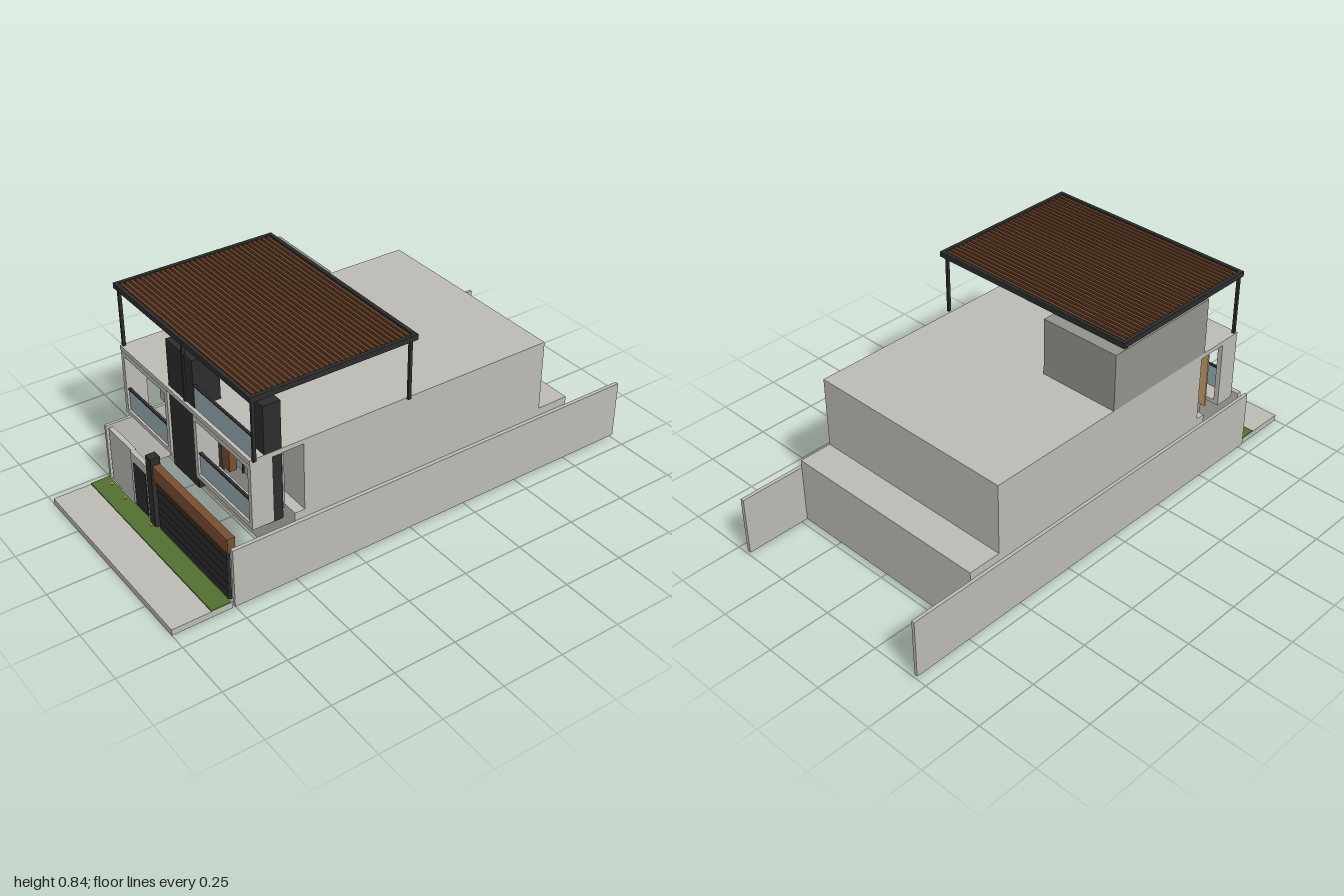
import * as THREE from 'three';

const mat = (name, color, side = THREE.FrontSide) => {
  const m = new THREE.MeshStandardMaterial({ color, side });
  m.name = name;
  return m;
};

export function createModel() {
  const concrete = mat('concrete', 0xbcbab4);
  const render = mat('grey render', 0x93918c);
  const dark = mat('charcoal', 0x2d2d2d);
  const glass = mat('glass', 0x98abb1, THREE.DoubleSide);
  const wood = mat('wood', 0x784e32);
  const slatWood = mat('slat wood', 0x613d25);
  const blind = mat('warm blind', 0xc89e6c);
  const grass = mat('grass', 0x537030);
  const lamp = mat('lamp', 0xb8873c);

  const model = new THREE.Group();
  model.name = 'house';
  // box given by its limits on each axis
  const box = (name, m, x0, x1, y0, y1, z0, z1, parent = model) => {
    const mesh = new THREE.Mesh(new THREE.BoxGeometry(x1 - x0, y1 - y0, z1 - z0), m);
    mesh.position.set((x0 + x1) / 2, (y0 + y1) / 2, (z0 + z1) / 2);
    mesh.name = name;
    parent.add(mesh);
    return mesh;
  };
  const group = (name) => {
    const g = new THREE.Group();
    g.name = name;
    model.add(g);
    return g;
  };
  const rect = (C, x0, x1, y0, y1) => {
    const p = new C();
    p.moveTo(x0, y0);
    p.lineTo(x1, y0);
    p.lineTo(x1, y1);
    p.lineTo(x0, y1);
    p.closePath();
    return p;
  };
  // upright wall with one rectangular opening
  const wallWithHole = (name, m, outer, hole, z0, z1, parent = model) => {
    const s = rect(THREE.Shape, ...outer);
    s.holes.push(rect(THREE.Path, ...hole));
    const mesh = new THREE.Mesh(new THREE.ExtrudeGeometry(s, { depth: z1 - z0, bevelEnabled: false }), m);
    mesh.position.z = z0;
    mesh.name = name;
    parent.add(mesh);
  };
  const L = -0.447, R = 0.43;

  // Ground: pavement, grass strip and boundary walls
  box('pavement', concrete, L, R, 0, 0.025, 0.76, 1);
  box('grassStrip', grass, L, R, 0.024, 0.03, 0.767, 0.845);
  box('boundaryWallRight', concrete, -0.46, L, 0.015, 0.257, -1, 0.76);
  box('boundaryWallLeft', concrete, R, 0.445, 0.015, 0.257, -1, 0.76);

  // Main volumes
  box('groundFloor', concrete, L, R, 0.015, 0.29, -0.735, 0.5);
  box('upperFloor', concrete, L, R, 0.29, 0.58, -0.6, 0.46);
  box('roofOverhang', concrete, L, R, 0.562, 0.58, 0.46, 0.672);
  box('roofRoom', render, L, -0.113, 0.58, 0.812, -0.03, 0.475);

  // Chimney-like dark columns
  box('centralColumn', dark, -0.113, 0.063, 0.24, 0.77, 0.555, 0.66);
  box('sideColumn', dark, 0.38, 0.4295, 0.292, 0.77, 0.547, 0.615);

  // Framed balconies with windows set behind
  const balcony = (name, outer, hole, railY, barY, mullions, barX) => {
    const g = group(name);
    const [x0, x1, y0, y1] = hole;
    wallWithHole('balconyFrame', concrete, outer, hole, 0.585, 0.67, g);
    box('balustradeGlass', glass, x0, x1, y0, railY, 0.655, 0.661, g);
    box('handrail', dark, x0, x1, railY - 0.003, railY + 0.003, 0.653, 0.664, g);
    box('windowGlass', glass, x0, x1, y0, y1, 0.531, 0.535, g);
    box('windowBlind', blind, x0, x1, y0, y1, 0.528, 0.531, g);
    for (const x of mullions) box('mullion', dark, x - 0.003, x + 0.003, y0, y1, 0.535, 0.541, g);
    box('transom', dark, barX[0], barX[1], barY - 0.002, barY + 0.002, 0.535, 0.541, g);
  };
  balcony('rightBalcony', [L, -0.113, 0.288, 0.562], [-0.427, -0.133, 0.305, 0.54],
    0.397, 0.492, [-0.33, -0.23], [-0.427, -0.133]);
  balcony('leftBalcony', [0.063, R, 0.295, 0.562], [0.082, 0.412, 0.315, 0.54],
    0.403, 0.502, [0.163, 0.245, 0.33], [0.133, 0.38]);
  box('woodPanel', wood, 0.082, 0.133, 0.315, 0.54, 0.545, 0.575);

  // Roof terrace balustrade
  box('terraceGlass', glass, 0.063, R, 0.58, 0.67, 0.652, 0.658);
  box('terraceHandrail', dark, 0.063, R, 0.669, 0.674, 0.65, 0.66);

  // Street front: wall, door, post, gate and beam
  box('frontWall', concrete, -0.43, -0.255, 0.02, 0.257, 0.738, 0.758);
  box('entranceWall', concrete, -0.255, -0.11, 0.02, 0.257, 0.743, 0.763);
  box('entranceDoor', dark, -0.232, -0.143, 0.03, 0.218, 0.74, 0.767);
  box('gatePost', dark, -0.11, -0.073, 0.02, 0.33, 0.737, 0.776);
  box('gateBeam', wood, -0.072, R, 0.239, 0.3, 0.74, 0.77);
  const gate = group('garageGate');
  box('gateBack', dark, -0.058, 0.413, 0.025, 0.239, 0.752, 0.76, gate);
  const plankH = 0.209 / 6;
  for (let i = 0; i < 6; i++) {
    const y = 0.03 + i * plankH;
    box('gatePlank', dark, -0.058, 0.413, y, y + plankH - 0.003, 0.76, 0.766, gate);
  }

  // Pergola: edge beams, slats and posts
  const pergola = group('pergola');
  const [px0, px1, pz0, pz1] = [L, 0.457, 0.01, 0.677];
  for (const z of [pz0, pz1 - 0.015]) box('edgeBeam', dark, px0, px1, 0.82, 0.841, z, z + 0.015, pergola);
  for (const x of [px0, px1 - 0.015]) box('sideBeam', dark, x, x + 0.015, 0.82, 0.841, pz0 + 0.015, pz1 - 0.015, pergola);
  const slats = 31;
  for (let i = 0; i < slats; i++) {
    const z = 0.036 + (i * 0.615) / (slats - 1);
    box('slat', slatWood, px0 + 0.015, px1 - 0.015, 0.823, 0.838, z - 0.0058, z + 0.0058, pergola);
  }
  for (const [x, z] of [[-0.438, 0.66], [0.005, 0.66], [0.44, 0.66], [-0.438, 0.03], [0.44, 0.03]])
    box('pergolaPost', dark, x - 0.005, x + 0.005, 0.58, 0.821, z - 0.006, z + 0.006, pergola);

  // Small round lamps: pergola, balcony ceilings and grass strip
  const lamps = group('lamps');
  const spot = (x, y, z) => {
    const m = new THREE.Mesh(new THREE.CylinderGeometry(0.006, 0.006, 0.004, 12), lamp);
    m.position.set(x, y, z);
    m.name = 'spotLamp';
    lamps.add(m);
  };
  for (const x of [-0.22, 0.005, 0.23]) spot(x, 0.82, 0.49);
  for (const x of [-0.335, -0.225, 0.185, 0.31]) spot(x, 0.539, 0.63);
  for (const x of [-0.395, -0.29, -0.093]) spot(x, 0.031, 0.783);

  return model;
}
